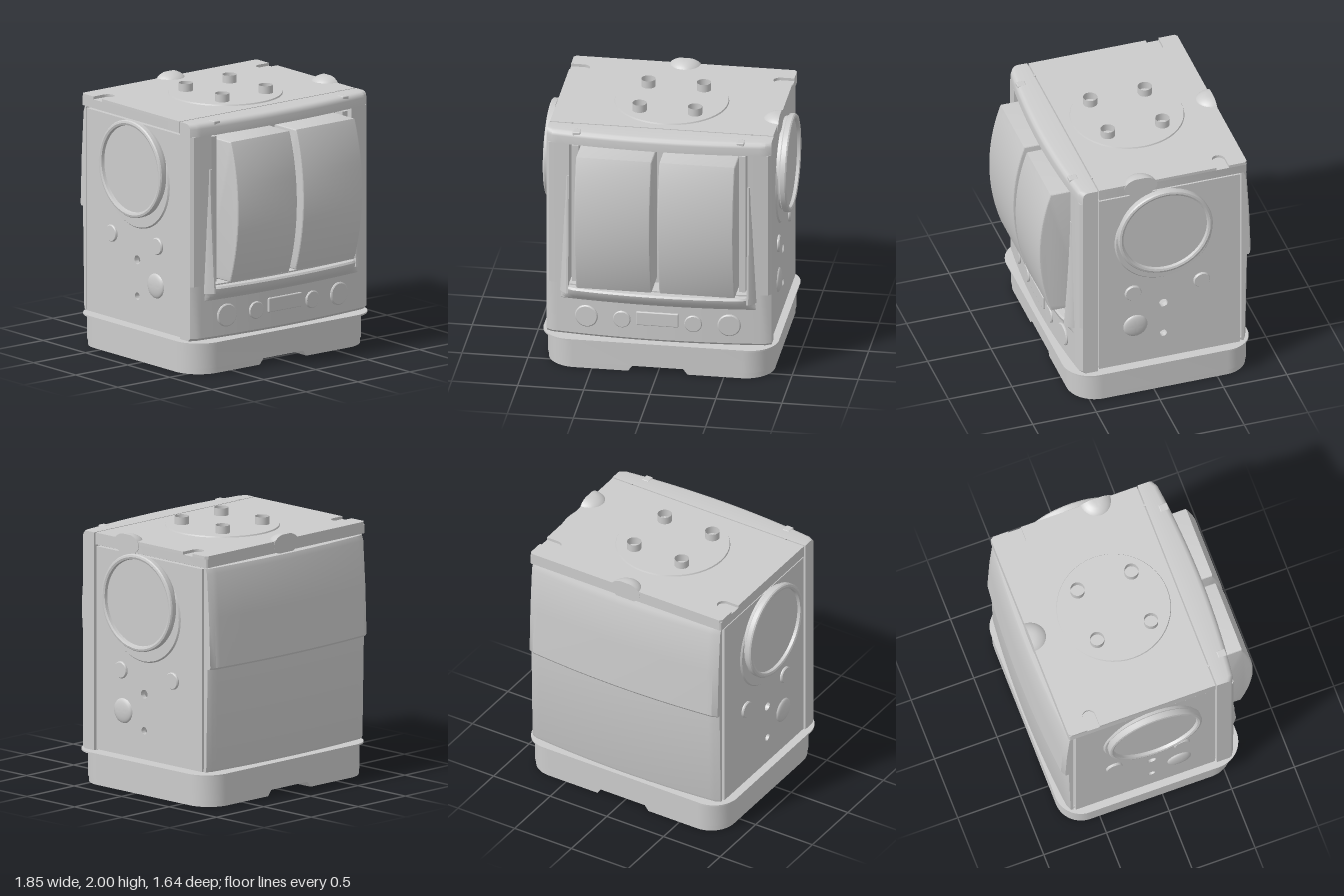
import * as THREE from 'three';
import { toCreasedNormals } from 'three/addons/utils/BufferGeometryUtils.js';
import { RoundedBoxGeometry } from 'three/addons/geometries/RoundedBoxGeometry.js';

const grey = new THREE.MeshStandardMaterial({ color: 0xcccccc });
const greyThin = new THREE.MeshStandardMaterial({ color: 0xcccccc, side: THREE.DoubleSide });

// Skin a row of closed rings, each counter-clockwise seen from the sweep direction.
function loft(rings, caps = true) {
  const p = [], n = rings[0].length, last = rings.length - 1;
  const tri = (a, b, c) => p.push(...a, ...b, ...c);
  for (let i = 0; i < last; i++) for (let j = 0; j < n; j++) {
    const k = (j + 1) % n, A = rings[i], B = rings[i + 1];
    tri(A[j], A[k], B[k]);
    tri(A[j], B[k], B[j]);
  }
  if (caps) for (let j = 1; j < n - 1; j++) {
    tri(rings[0][0], rings[0][j + 1], rings[0][j]);
    tri(rings[last][0], rings[last][j], rings[last][j + 1]);
  }
  const g = new THREE.BufferGeometry();
  g.setAttribute('position', new THREE.Float32BufferAttribute(p, 3));
  return toCreasedNormals(g, 0.6);
}

// Sweep a [y, z] section along x.
function loftX(x0, x1, steps, section) {
  const rings = [];
  for (let i = 0; i <= steps; i++) {
    const x = x0 + (x1 - x0) * i / steps;
    rings.push(section(x).map(([y, z]) => [x, y, z]));
  }
  return loft(rings);
}

// Rectangle in plan with a radius per corner; order: (x0,z0) (x1,z0) (x1,z1) (x0,z1)
function rectShape(x0, x1, z0, z1, [a, b, c, d]) {
  const s = new THREE.Shape().moveTo(x0 + a, z0).lineTo(x1 - b, z0);
  if (b) s.absarc(x1 - b, z0 + b, b, -Math.PI / 2, 0);
  s.lineTo(x1, z1 - c);
  if (c) s.absarc(x1 - c, z1 - c, c, 0, Math.PI / 2);
  s.lineTo(x0 + d, z1);
  if (d) s.absarc(x0 + d, z1 - d, d, Math.PI / 2, Math.PI);
  s.lineTo(x0, z0 + a);
  if (a) s.absarc(x0 + a, z0 + a, a, Math.PI, Math.PI * 1.5);
  return s;
}

// Extrude a plan shape (x, z) from y0 up to y1.
function slab(shape, y0, y1) {
  const g = new THREE.ExtrudeGeometry(shape, { depth: y1 - y0, bevelEnabled: false, curveSegments: 10 });
  return toCreasedNormals(g.rotateX(Math.PI / 2).translate(0, y1, 0), 0.6);
}

// Extrude a shape drawn in (-z, y) along x, centred on x.
function sideExtrude(shape, x, width, bevel) {
  const depth = width - 2 * bevel;
  const g = new THREE.ExtrudeGeometry(shape, { depth, bevelEnabled: bevel > 0, bevelSize: bevel, bevelThickness: bevel, bevelOffset: -bevel, bevelSegments: 3, curveSegments: 24 });
  return toCreasedNormals(g.translate(0, 0, -depth / 2).rotateY(Math.PI / 2).translate(x, 0, 0), 0.5);
}

function turned(points, segments = 48) {
  const g = new THREE.LatheGeometry(points.map(([r, h]) => new THREE.Vector2(r, h)), segments);
  return toCreasedNormals(g, 0.6);
}

const button = (r, h) => turned([[r, -0.02], [r, h * 0.5], [r * 0.9, h], [0, h]], 32);
const dome = (r, h) => turned([0, 1, 2, 3, 4, 5, 6].map(i => [r * Math.cos(i * Math.PI / 12), h * Math.sin(i * Math.PI / 12)]), 32);
const frontZ = x => 0.63 - 0.055 * (x / 0.85) ** 2 - (Math.abs(x) > 0.83 ? 0.02 : 0);

export function createModel() {
  const model = new THREE.Group();
  const add = (name, geo, x = 0, y = 0, z = 0, mat = grey) => {
    const m = new THREE.Mesh(geo, mat);
    m.name = name;
    m.position.set(x, y, z);
    model.add(m);
    return m;
  };

  // Base: upper tray, two feet beside a channel, and tapered recesses
  const hole = s => rectShape(s * 0.48 - 0.18, s * 0.48 + 0.18, -0.5, 0.35, [0, 0, 0, 0]);
  const tray = rectShape(-0.86, 0.86, -0.78, 0.62, [0.2, 0.2, 0.22, 0.22]);
  tray.holes.push(hole(1), hole(-1));
  add('baseTray', slab(tray, 0.045, 0.24));
  add('baseRim', slab(rectShape(-0.89, 0.89, -0.79, 0.66, [0.2, 0.2, 0.22, 0.22]), 0.238, 0.25));
  for (const s of [1, -1]) {
    const foot = s > 0 ? rectShape(0.225, 0.855, -0.775, 0.615, [0, 0.2, 0.22, 0])
      : rectShape(-0.855, -0.225, -0.775, 0.615, [0.2, 0, 0, 0.22]);
    foot.holes.push(hole(s));
    add('baseFoot', slab(foot, 0, 0.045));
    const ring = (y, d) => [[-1, -1], [-1, 1], [1, 1], [1, -1]].map(([u, v]) => [s * 0.48 + u * (0.18 - d), y, -0.075 + v * (0.425 - d)]);
    add('recessWalls', loft([ring(0, 0), ring(0.13, 0.09)], false), 0, 0, 0, greyThin);
    add('recessFloor', new THREE.BoxGeometry(0.35, 0.02, 0.84), s * 0.48, 0.14, -0.075);
    // Sloped channel side
    const wedge = [[0, 0.225], [0.045, 0.19], [0.045, 0.225]].map(([y, x]) => [s * x, y]);
    if (s < 0) wedge.reverse();
    add('channelSlope', loft([-0.775, 0.615].map(z => wedge.map(([x, y]) => [x, y, z]).reverse())), 0, 0, 0, greyThin);
  }
  add('bodyFloor', new THREE.BoxGeometry(1.64, 0.02, 1.24), 0, 0.28, -0.08);

  // Front panel: sill block, head bar and side columns with a bowed face
  add('frontLower', loftX(-0.85, 0.85, 40, x => [[0.26, 0.437], [0.68, 0.437], [0.68, frontZ(x)], [0.28, frontZ(x)], [0.26, frontZ(x) - 0.02]]));
  add('frontHead', loftX(-0.85, 0.85, 40, x => {
    const z = frontZ(x);
    return [[1.83, 0.437], [1.93, 0.437], [1.93, z - 0.04], [1.925, z - 0.02], [1.91, z - 0.005], [1.89, z], [1.83, z]];
  }));
  for (const s of [1, -1]) {
    const [a, b] = s > 0 ? [0.675, 0.85] : [-0.85, -0.675];
    add('frontColumn', loftX(a, b, 8, x => [[0.68, 0.437], [1.83, 0.437], [1.83, frontZ(x)], [0.68, frontZ(x)]]));
    // Flare running up beside the opening
    const rings = [];
    for (let i = 0; i <= 10; i++) {
      const t = i / 10, y = 0.62 + t * 0.95, out = 0.755 - 0.045 * t, up = 0.05 * (1 - t) ** 1.5;
      const r = [[0.5, 0.675], [0.6 + up, 0.675], [0.6 + up, 0.69], [0.585 + up * 0.6, 0.69 + (out - 0.69) * 0.6], [0.565, out], [0.5, out]];
      const pts = r.map(([z, x]) => [s * x, y, z]);
      rings.push(s > 0 ? pts : pts.reverse());
    }
    add('openingFlare', loft(rings));
    add('openingTrim', new THREE.BoxGeometry(0.05, 1.12, 0.14), s * 0.632, 1.25, 0.5);
    add('headTab', new RoundedBoxGeometry(0.06, 0.045, 0.07, 2, 0.008), s * 0.62, 1.91, 0.56);
    add('headPin', new THREE.CylinderGeometry(0.01, 0.01, 0.01, 12), s * 0.68, 1.932, 0.432);
  }
  add('openingBack', new THREE.BoxGeometry(1.36, 1.17, 0.04), 0, 1.255, 0.46);
  add('sillLip', loftX(-0.765, 0.765, 48, x => {
    const end = Math.max(0, (Math.abs(x) - 0.62) / 0.145), f = frontZ(x);
    const z = 0.70 - 0.1 * x * x - 0.085 * end ** 2, k = Math.max(z, f - 0.02);
    return [[0.55, 0.5], [0.67, 0.5], [0.67, k - 0.01], [0.655, k], [0.625, k - 0.008], [0.59, Math.min(k, f + (k - f) * 0.45)], [0.565, Math.min(k, f + 0.004)], [0.55, Math.min(k, f) - 0.008]];
  }));

  // Pair of bowed drums in the opening
  for (const s of [1, -1]) {
    const drum = new THREE.Shape().moveTo(-0.45, 0.71).lineTo(-0.45, 1.79).lineTo(-0.73, 1.79)
      .bezierCurveTo(-0.85, 1.45, -0.85, 1.06, -0.725, 0.71).lineTo(-0.45, 0.71);
    add('drum', sideExtrude(drum, s * 0.315, 0.575, 0.014));
  }

  // Front buttons and display
  for (const s of [1, -1]) for (const [x, r] of [[0.54, 0.088], [0.27, 0.067]]) {
    const b = add('frontButton', button(r, 0.014), s * x, 0.43, frontZ(x));
    b.rotation.set(Math.PI / 2, 0, -s * 0.152 * x, 'YXZ');
    b.rotation.y = s * 0.152 * x;
    b.rotation.z = 0;
  }
  add('display', new RoundedBoxGeometry(0.32, 0.11, 0.05, 2, 0.008), 0, 0.45, 0.619);

  // Side panels with ports, buttons and round speaker housings
  for (const s of [1, -1]) {
    const panel = rectShape(-0.425, 0.685, 0.27, 1.825, [0, 0, 0, 0]);
    for (const [y, r] of [[0.77, 0.034], [0.49, 0.028]]) panel.holes.push(new THREE.Path().absarc(0.08, y, r, 0, Math.PI * 2, true));
    add('sidePanel', sideExtrude(panel, s * 0.82, 0.04, 0));
    const onSide = (name, geo, x, y, z) => { add(name, geo, s * x, y, z).rotation.z = -s * Math.PI / 2; };
    onSide('speakerHousing', turned([[0.345, -0.01], [0.355, 0.025], [0.37, 0.035], [0.372, 0.07], [0.365, 0.08], [0.35, 0.084], [0.335, 0.078], [0.33, 0.055], [0, 0.055]]), 0.84, 1.48, -0.075);
    onSide('speakerPad', turned([[0.385, 0], [0.375, 0.012], [0, 0.016]]), 0.84, 1.4, -0.08);
    onSide('sideButton', button(0.065, 0.018), 0.84, 0.92, 0.16);
    onSide('sideButton', button(0.065, 0.018), 0.84, 0.92, -0.38);
    onSide('sideKnob', dome(0.095, 0.025), 0.84, 0.61, 0.14);
  }
  // Block behind the upper ports
  add('portBacking', new THREE.BoxGeometry(0.3, 0.12, 0.12), 0, 0.77, -0.08);

  // Top plate with a notch in each side
  add('topPlate', slab(rectShape(-0.845, 0.845, -0.74, 0.427, [0.02, 0.02, 0, 0]), 1.84, 1.908));
  const skin = new THREE.Shape().moveTo(-0.845, 0.427).lineTo(-0.845, -0.495).lineTo(-0.745, -0.495)
    .absarc(-0.745, -0.545, 0.05, Math.PI / 2, -Math.PI / 2, true).lineTo(-0.845, -0.595)
    .lineTo(-0.845, -0.72).lineTo(-0.825, -0.74).lineTo(0.825, -0.74).lineTo(0.845, -0.72)
    .lineTo(0.845, -0.595).lineTo(0.745, -0.595).absarc(0.745, -0.545, 0.05, -Math.PI / 2, Math.PI / 2, true)
    .lineTo(0.845, -0.495).lineTo(0.845, 0.427);
  add('topSkin', slab(skin, 1.908, 1.93));
  add('topDisc', turned([[0.432, -0.005], [0.425, 0.01], [0, 0.012]]), 0, 1.93, -0.07);
  for (const x of [-0.21, 0.21]) for (const z of [-0.28, 0.15])
    add('topPost', new THREE.CylinderGeometry(0.054, 0.054, 0.07, 24, 1, true), x, 1.965, z, greyThin);

  // Half-round grips cut off flush with the plate edges
  const grip = new THREE.SphereGeometry(1, 32, 16).scale(0.13, 0.08, 0.14);
  const gp = grip.attributes.position;
  for (let i = 0; i < gp.count; i++) {
    if (gp.getZ(i) < 0) gp.setZ(i, 0);
    gp.setY(i, Math.min(gp.getY(i), 0.075));
  }
  const gripGeo = toCreasedNormals(grip, 0.7);
  add('backGrip', gripGeo, 0, 1.895, -0.742);
  add('sideGrip', gripGeo, 0.85, 1.895, 0.1).rotation.y = -Math.PI / 2;

  // Bowed back panels, the upper one overhanging the lower
  const backZ = x => 0.045 * (x / 0.83) ** 2 + (Math.abs(x) > 0.81 ? 0.015 : 0);
  add('backUpper', loftX(-0.83, 0.83, 40, x => {
    const d = backZ(x);
    return [[1.06, -0.7], [1.06, -0.815 + d], [1.075, -0.825 + d], [1.45, -0.812 + d], [1.79, -0.79 + d], [1.83, -0.775 + d], [1.83, -0.7]];
  }));
  add('backLower', loftX(-0.83, 0.83, 40, x => {
    const d = backZ(x);
    return [[0.27, -0.7], [0.27, -0.775 + d], [0.29, -0.782 + d], [1.06, -0.797 + d], [1.06, -0.7]];
  }));
  return model;
}
